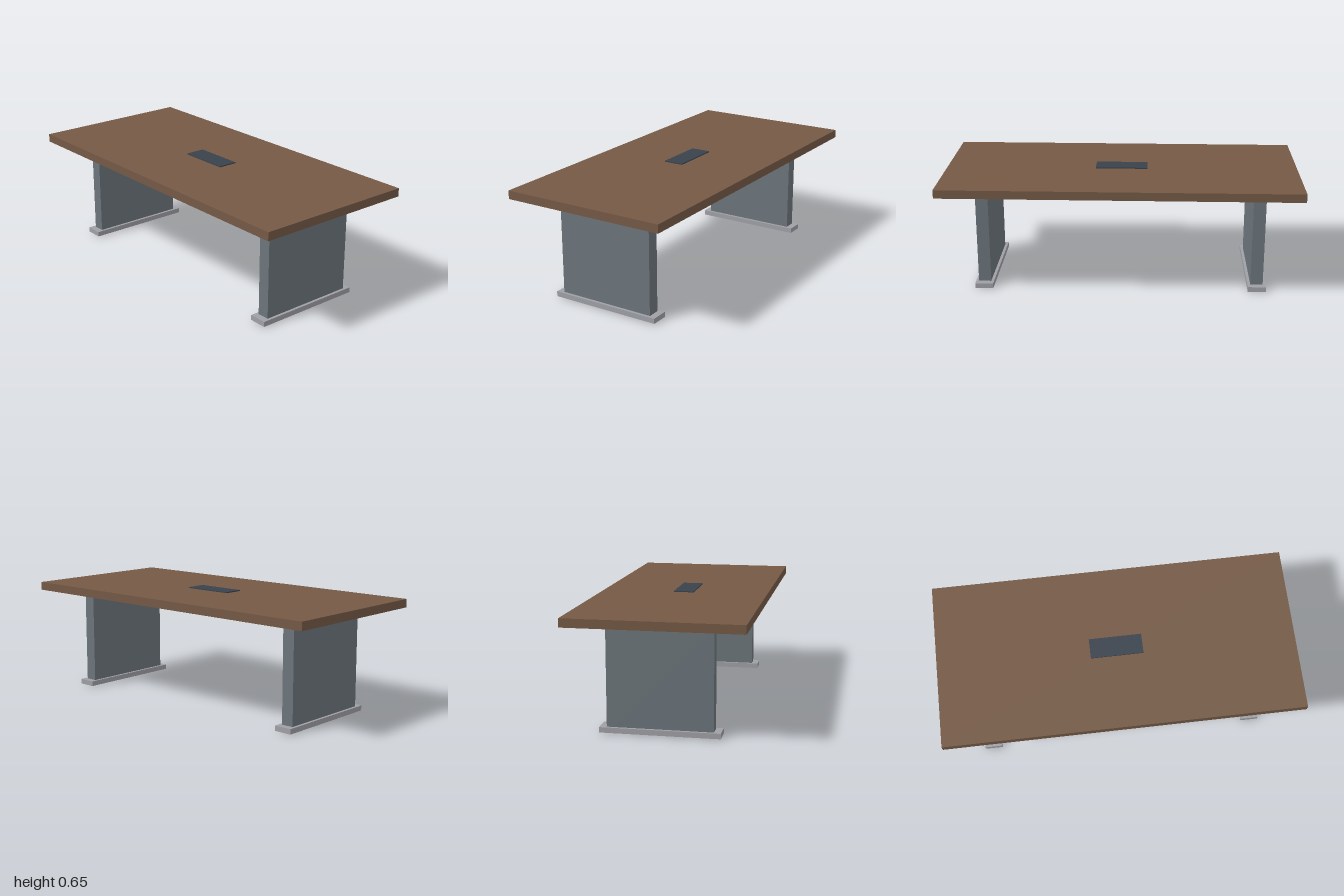
import * as THREE from 'three';

export function createModel() {
  const model = new THREE.Group();
  model.name = 'conferenceTable';

  const material = (name, color) => {
    const m = new THREE.MeshStandardMaterial({ color });
    m.name = name;
    return m;
  };
  const wood = material('brown wood', 0x745945);
  const steel = material('grey steel', 0x6c757b);
  const trim = material('light grey trim', 0x9fa0a6);
  const dark = material('dark slate', 0x39424c);

  // Box spanning y0 to y1, centred on x and z = 0
  const addBox = (name, mat, width, depth, y0, y1, x = 0) => {
    const mesh = new THREE.Mesh(new THREE.BoxGeometry(width, y1 - y0, depth), mat);
    mesh.name = name;
    mesh.position.set(x, (y0 + y1) / 2, 0);
    model.add(mesh);
  };

  // Table top and the cable cover hovering just above it
  addBox('tableTop', wood, 2, 0.94, 0.592, 0.639);
  addBox('cableCover', dark, 0.294, 0.113, 0.642, 0.648);

  // Slab legs, each passing through a wider foot plate
  for (const [side, x] of [['left', 0.773], ['right', -0.773]]) {
    addBox(side + 'Leg', steel, 0.07, 0.566, 0, 0.592, x);
    addBox(side + 'Foot', trim, 0.102, 0.642, 0.004, 0.033, x);
  }

  return model;
}
